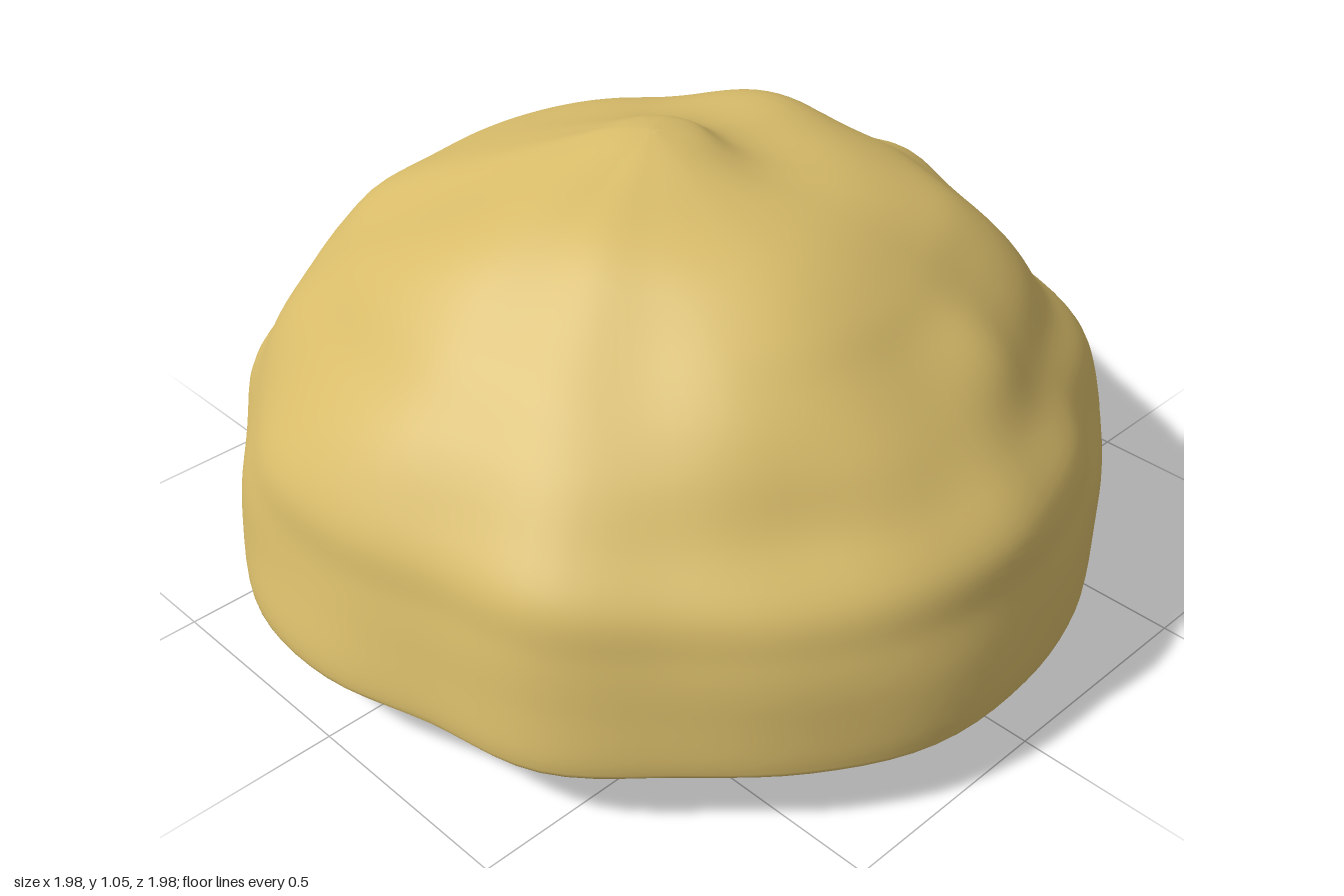
import * as THREE from 'three';
import { toCreasedNormals } from 'three/addons/utils/BufferGeometryUtils.js';

// Cross-sections from the underside to the peak: height, then reach to +x, +z, -x, -z
const SECTIONS = [
  [0.015, 0, 0, 0, 0], [0.025, 0.28, 0.28, 0.3, 0.28], [0.055, 0.6, 0.58, 0.58, 0.6],
  [0.105, 0.82, 0.8, 0.8, 0.84], [0.15, 0.93, 0.96, 0.96, 0.93], [0.175, 0.955, 0.985, 0.99, 0.96],
  [0.3, 0.985, 0.975, 0.965, 0.99], [0.4, 0.96, 0.955, 0.945, 0.955], [0.5, 0.9, 0.93, 0.925, 0.87],
  [0.6, 0.8, 0.84, 0.86, 0.82], [0.7, 0.74, 0.76, 0.77, 0.76], [0.8, 0.66, 0.66, 0.66, 0.67],
  [0.88, 0.58, 0.57, 0.53, 0.52], [0.95, 0.43, 0.44, 0.38, 0.33], [1.01, 0.2, 0.24, 0.24, 0.18],
  [1.055, 0.11, 0.09, 0.09, 0.08], [1.07, 0, 0, 0, 0],
];
// Plan outline every 15 degrees, turning from +x towards +z
const OUTLINE = [1, 0.985, 0.99, 0.975, 0.955, 0.975, 1, 1.02, 1, 0.98, 1, 0.965,
  1, 1.015, 1, 1, 1.035, 1, 1, 0.99, 0.985, 0.96, 0.97, 0.97];
// Local swellings and hollows: x, y, z, size, amount
const BUMPS = [
  [0.56, 0.84, -0.05, 0.14, -0.04], [0.73, 0.72, 0.0, 0.13, 0.025], [0.8, 0.54, 0.05, 0.13, -0.02],
  [0.12, 0.97, 0.12, 0.16, -0.025], [0.35, 0.93, -0.1, 0.14, 0.03], [0.15, 0.74, 0.7, 0.12, 0.025],
  [0.0, 0.56, 0.87, 0.12, 0.02], [-0.55, 0.8, 0.35, 0.16, -0.025], [-0.4, 0.6, 0.72, 0.15, -0.02],
  [0.5, 0.45, 0.75, 0.16, -0.02], [-0.6, 0.65, -0.55, 0.18, 0.02], [0.55, 0.5, -0.68, 0.16, -0.025],
  [-0.1, 0.6, -0.8, 0.16, 0.01], [0.45, 0.8, 0.4, 0.16, 0.02],
];
const RINGS = 96, SIDES = 120;

const smooth = THREE.MathUtils.smoothstep;
const spline = (p0, p1, p2, p3, t) => p1 + 0.5 * t * (p2 - p0
  + t * (2 * p0 - 5 * p1 + 4 * p2 - p3 + t * (3 * (p1 - p2) + p3 - p0)));

function section(t, column) {
  const last = SECTIONS.length - 1, f = t * last, i = Math.min(Math.floor(f), last - 1);
  const at = (k) => SECTIONS[THREE.MathUtils.clamp(k, 0, last)][column];
  return spline(at(i - 1), at(i), at(i + 1), at(i + 2), f - i);
}

function outline(turn) {
  const n = OUTLINE.length, f = turn * n, i = Math.floor(f);
  const at = (k) => OUTLINE[(k + n) % n];
  return spline(at(i - 1), at(i), at(i + 1), at(i + 2), f - i);
}

function surfacePoint(t, turn) {
  const angle = turn * Math.PI * 2, c = Math.cos(angle), s = Math.sin(angle);
  const y = section(t, 0);
  const reach = section(t, c >= 0 ? 1 : 3) * c * c + section(t, s >= 0 ? 2 : 4) * s * s;
  const r = t === 0 || t === 1 ? 0 : reach * outline(turn);
  const p = new THREE.Vector3(-0.08 * smooth(y, 0.7, 1) + r * c, y, r * s);

  // Push the surface in and out from the middle of the stone
  let push = 0.007 * Math.sin(7 * p.x + 4 * p.y + 1) * Math.sin(8 * p.z - 5 * p.y)
    + 0.004 * Math.sin(13 * p.x - 9 * p.z + 8 * p.y);
  for (const [x, by, z, size, amount] of BUMPS) {
    const d2 = (p.x - x) ** 2 + (p.y - by) ** 2 + (p.z - z) ** 2;
    push += amount * Math.exp(-d2 / (size * size));
  }
  const upper = smooth(y, 0.17, 0.4);
  const out = new THREE.Vector3(p.x, p.y - 0.3, p.z).normalize();
  const lump = 0.016 * Math.sin(6 * p.x + 0.7) * Math.sin(7 * p.z + 1.2) * (1 - smooth(y, 0.1, 0.18));
  p.addScaledVector(out, push * upper);
  p.y = Math.max(0, p.y + lump);
  return p;
}

function stoneGeometry() {
  const positions = [], index = [];
  for (let i = 0; i <= RINGS; i++) {
    for (let j = 0; j < SIDES; j++) positions.push(...surfacePoint(i / RINGS, j / SIDES).toArray());
  }
  for (let i = 0; i < RINGS; i++) {
    for (let j = 0; j < SIDES; j++) {
      const a = i * SIDES + j, b = i * SIDES + (j + 1) % SIDES;
      if (i < RINGS - 1) index.push(a, a + SIDES, b + SIDES);
      else index.push(a, a + SIDES, b);
      if (i > 0 && i < RINGS - 1) index.push(a, b + SIDES, b);
    }
  }
  const geometry = new THREE.BufferGeometry();
  geometry.setAttribute('position', new THREE.Float32BufferAttribute(positions, 3));
  geometry.setIndex(index);
  return toCreasedNormals(geometry, 0.7);
}

export function createModel() {
  const sandstone = new THREE.MeshStandardMaterial({ color: 0xd8bc6a });
  sandstone.name = 'sandstone';
  const boulder = new THREE.Mesh(stoneGeometry(), sandstone);
  boulder.name = 'boulder';
  const model = new THREE.Group();
  model.name = 'rock';
  model.add(boulder);
  return model;
}
